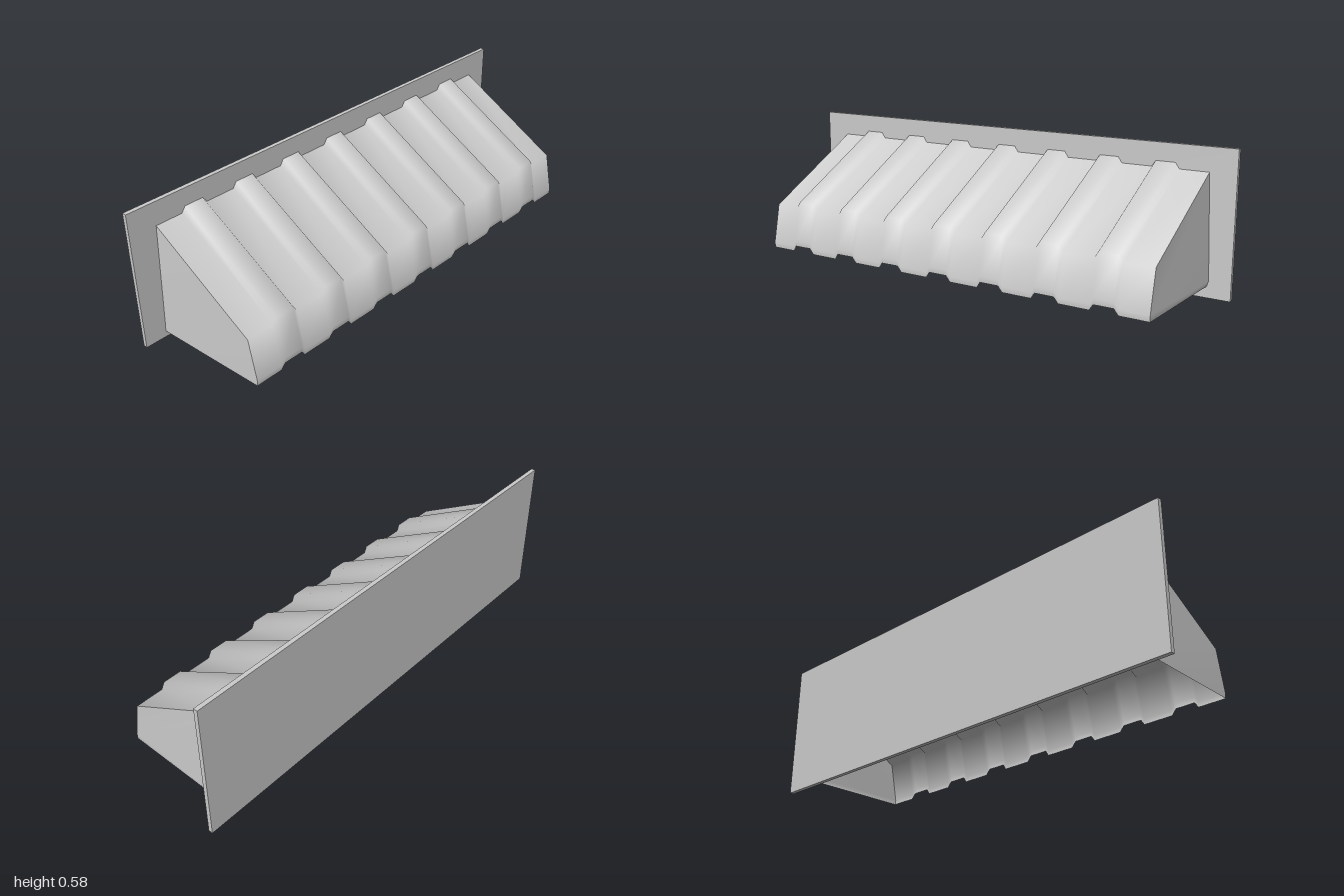
import * as THREE from 'three';

const BACK = -0.243; // front face of the wall board

// Smooth open surface through rows of [x, y, z] points of equal length
function sheet(name, rows) {
  const n = rows[0].length;
  const index = [];
  for (let i = 0; i < rows.length - 1; i++) {
    for (let j = 0; j < n - 1; j++) {
      const a = i * n + j, c = a + n;
      index.push(a, a + 1, c, a + 1, c + 1, c);
    }
  }
  const geometry = new THREE.BufferGeometry();
  geometry.setAttribute('position', new THREE.Float32BufferAttribute(rows.flat(2), 3));
  geometry.setIndex(index);
  geometry.computeVertexNormals();
  const material = new THREE.MeshStandardMaterial({ color: 0xcccccc, side: THREE.DoubleSide });
  const mesh = new THREE.Mesh(geometry, material);
  mesh.name = name;
  return mesh;
}

export function createModel() {
  const group = new THREE.Group();
  group.name = 'awning';

  // Flat board against the wall
  const board = new THREE.Mesh(
    new THREE.BoxGeometry(2, 0.585, 0.018),
    new THREE.MeshStandardMaterial({ color: 0xcccccc })
  );
  board.position.set(0, 0.2925, -0.252);
  board.name = 'backBoard';
  group.add(board);

  // Canopy stations across the width: [x, raised 0 or 1], seven ridges
  const stations = [[-0.887, 0]];
  for (let k = -3; k <= 3; k++) {
    const x = k * 0.239;
    stations.push([x - 0.057, 0], [x - 0.04, 1], [x + 0.04, 1], [x + 0.057, 0]);
  }
  stations.push([0.893, 0]);

  // Roof slope, front drop and small lip as [y, z]
  const profile = [[0.488, BACK], [0.232, 0.225], [0.068, 0.259], [0.045, 0.257]];
  group.add(sheet('corrugatedCanopy', stations.map(([x, up]) =>
    profile.map(([y, z], j) => [x, y + 0.024 * up, j ? z + 0.003 * up : z]))));

  // Side panels flare outward towards the lower back corner
  const frontEdge = x => profile.slice(1).map(([y, z]) => [x, y, z]);
  group.add(sheet('leftSidePanel', [
    frontEdge(0.893),
    [[0.893, 0.488, BACK], [0.912, 0.068, BACK], [0.905, 0.045, BACK]]
  ]));
  group.add(sheet('rightSidePanel', [
    [[-0.887, 0.488, BACK], [-0.908, 0.05, BACK], [-0.91, 0.026, BACK]],
    frontEdge(-0.887)
  ]));

  return group;
}
